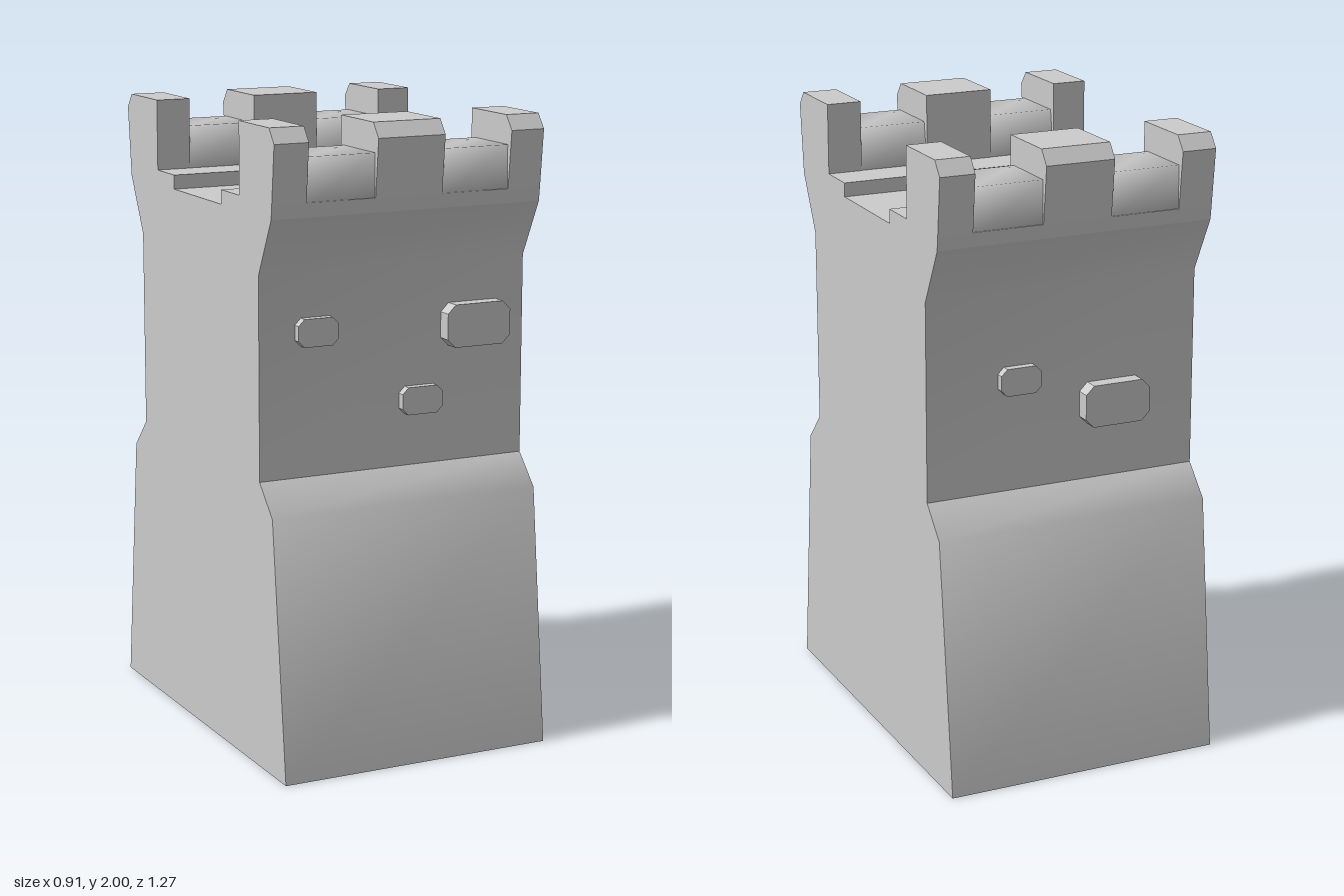
import * as THREE from 'three';
import { toCreasedNormals } from 'three/addons/utils/BufferGeometryUtils.js';

const WIDTH = 0.91;
const material = new THREE.MeshStandardMaterial({ color: 0xcccccc });
const CREASE = THREE.MathUtils.degToRad(40);

function shapeFrom(points) {
  return new THREE.Shape(points.map(([a, b]) => new THREE.Vector2(a, b)));
}

// Extrude a [z, y] profile along x between x0 and x1
function slab(name, points, x0, x1, crease = CREASE, openEnds = false) {
  let geometry = new THREE.ExtrudeGeometry(shapeFrom(points), {
    depth: x1 - x0, bevelEnabled: false,
  });
  if (openEnds) {
    // Keep only the side walls, so they can be shaded as one soft surface
    const { start, count } = geometry.groups[1];
    const position = geometry.getAttribute('position').array.slice(start * 3, (start + count) * 3);
    geometry = new THREE.BufferGeometry();
    geometry.setAttribute('position', new THREE.BufferAttribute(position, 3));
  }
  geometry.rotateY(-Math.PI / 2).translate(x1, 0, 0);
  const mesh = new THREE.Mesh(toCreasedNormals(geometry, crease), material);
  mesh.name = name;
  return mesh;
}

// Protruding stone with cut corners, on the +z wall
function stone(x, y, w, h, depth, cut) {
  const a = w / 2, b = h / 2;
  const outline = shapeFrom([
    [-a + cut, -b], [a - cut, -b], [a, -b + cut], [a, b - cut],
    [a - cut, b], [-a + cut, b], [-a, b - cut], [-a, -b + cut],
  ]);
  const sunk = 0.02;
  const geometry = new THREE.ExtrudeGeometry(outline, { depth: depth + sunk, bevelEnabled: false });
  geometry.translate(x, y, 0.455 - sunk);
  const mesh = new THREE.Mesh(toCreasedNormals(geometry, CREASE), material);
  mesh.name = 'wallStone';
  return mesh;
}

// One row of battlements, built on the +z side
function battlement(name) {
  const group = new THREE.Group();
  group.name = name;
  const half = WIDTH / 2;

  // Parapet base with the inner step
  group.add(slab('parapetStep',
    [[0.185, 1.73], [0.547, 1.73], [0.552, 1.775], [0.185, 1.775]], -half, half));

  // Tall merlons with bevelled outer edge
  const merlon = [[0.32, 1.775], [0.552, 1.775], [0.57, 1.955], [0.535, 2], [0.32, 2]];
  for (const [x0, x1] of [[-half, -0.342], [-0.113, 0.113], [0.342, half]]) {
    group.add(slab('merlon', merlon, x0, x1));
  }

  // Lower walls between the merlons
  const crenel = [[0.32, 1.76], [0.549, 1.76], [0.546, 1.91], [0.342, 1.91]];
  for (const [x0, x1] of [[-0.342, -0.113], [0.113, 0.342]]) {
    group.add(slab('crenelWall', crenel, x0, x1, Math.PI * 0.55, true));
  }
  return group;
}

export function createModel() {
  const model = new THREE.Group();
  model.name = 'castleTower';

  // Tower body: flared foot, straight wall, flared head
  const side = [[0.635, 0], [0.546, 0.82], [0.455, 0.915], [0.455, 1.55], [0.547, 1.73]];
  const mirrored = side.map(([z, y]) => [-z, y]).reverse();
  model.add(slab('towerBody', [...side, ...mirrored], -WIDTH / 2, WIDTH / 2));

  // Front half details
  const front = battlement('frontBattlement');
  front.add(
    stone(0.275, 1.35, 0.22, 0.135, 0.048, 0.027),
    stone(-0.268, 1.367, 0.135, 0.087, 0.027, 0.02),
    stone(0.09, 1.123, 0.14, 0.087, 0.027, 0.02),
  );

  // Back half details, turned to face -z (x is flipped by the turn)
  const back = battlement('backBattlement');
  back.add(
    stone(0.17, 1.163, 0.22, 0.135, 0.048, 0.027),
    stone(-0.15, 1.272, 0.135, 0.087, 0.027, 0.02),
  );
  back.rotation.y = Math.PI;

  model.add(front, back);
  return model;
}
